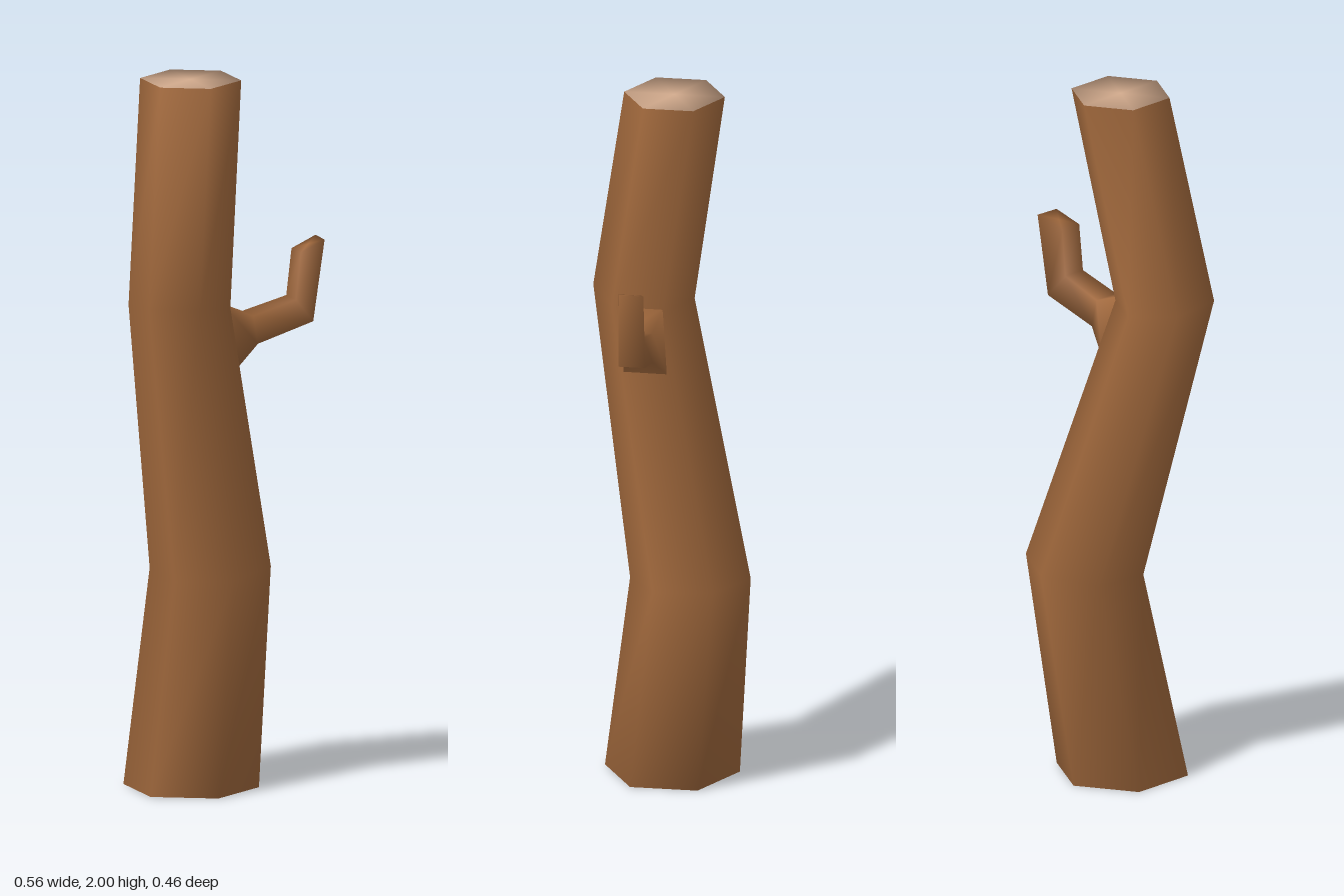
import * as THREE from 'three';

// Skins matching rings of points; sides are material group 0, end caps group 1.
// Vertices are shared, so the whole skin shades smoothly.
function loft(rings, capStart) {
  const n = rings[0].length;
  const points = rings.flat();
  const sides = [], caps = [];
  for (let i = 0; i < rings.length - 1; i++) {
    for (let j = 0; j < n; j++) {
      const k = (j + 1) % n;
      const a = i * n + j, b = i * n + k;
      sides.push(a, a + n, b, b, a + n, b + n);
    }
  }
  const addCap = (ring, start, flip) => {
    const centre = [0, 1, 2].map((c) => ring.reduce((sum, p) => sum + p[c], 0) / n);
    const m = points.push(centre) - 1;
    for (let j = 0; j < n; j++) {
      const p = start + j, q = start + (j + 1) % n;
      caps.push(m, flip ? p : q, flip ? q : p);
    }
  };
  addCap(rings.at(-1), (rings.length - 1) * n, false);
  if (capStart) addCap(rings[0], 0, true);

  const geometry = new THREE.BufferGeometry();
  geometry.setAttribute('position', new THREE.Float32BufferAttribute(points.flat(), 3));
  geometry.setIndex([...sides, ...caps]);
  geometry.addGroup(0, sides.length, 0);
  geometry.addGroup(sides.length, caps.length, 1);
  geometry.computeVertexNormals();
  return geometry;
}

// Hexagonal trunk ring, tilted by a slope along x and along z
function hexRing([x, y, z, radius, slopeX, slopeZ]) {
  return Array.from({ length: 6 }, (_, i) => {
    const angle = Math.PI / 6 + (i * Math.PI) / 3;
    const dx = radius * Math.cos(angle), dz = radius * Math.sin(angle);
    return [x + dx, y + slopeX * dx + slopeZ * dz, z + dz];
  });
}

export function createModel() {
  const bark = new THREE.MeshStandardMaterial({ color: 0xa0683c });
  bark.name = 'bark';
  const cutWood = new THREE.MeshStandardMaterial({ color: 0xd4ac8e });
  cutWood.name = 'cutWood';

  // Crooked trunk with pale sawn ends
  const trunkRings = [
    [-0.084, 0, 0, 0.189, 0, 0],
    [0.001, 0.6, -0.063, 0.169, 0.07, -0.045],
    [-0.159, 1.382, 0.091, 0.142, -0.06, 0.09],
    [-0.083, 2, -0.006, 0.141, 0, 0],
  ].map(hexRing);
  const trunk = new THREE.Mesh(loft(trunkRings, true), [bark, cutWood]);
  trunk.name = 'trunk';

  // Four-sided branch: flared collar, elbow, upturned tip
  // Corners run top front, top back, bottom back, bottom front
  const branchRings = [
    [[-0.042, 1.38, 0.145], [-0.042, 1.38, 0.02], [-0.003, 1.195, 0.0], [-0.003, 1.195, 0.125]],
    [[0.055, 1.34, 0.112], [0.055, 1.34, 0.035], [0.07, 1.26, 0.032], [0.07, 1.26, 0.11]],
    [[0.185, 1.375, 0.11], [0.185, 1.375, 0.042], [0.24, 1.308, 0.028], [0.24, 1.308, 0.103]],
    [[0.2, 1.507, 0.11], [0.2, 1.507, 0.044], [0.28, 1.535, 0.027], [0.277, 1.535, 0.097]],
  ];
  const branch = new THREE.Mesh(loft(branchRings, false), [bark, bark]);
  branch.name = 'branch';

  const group = new THREE.Group();
  group.name = 'log';
  group.add(trunk, branch);
  return group;
}
